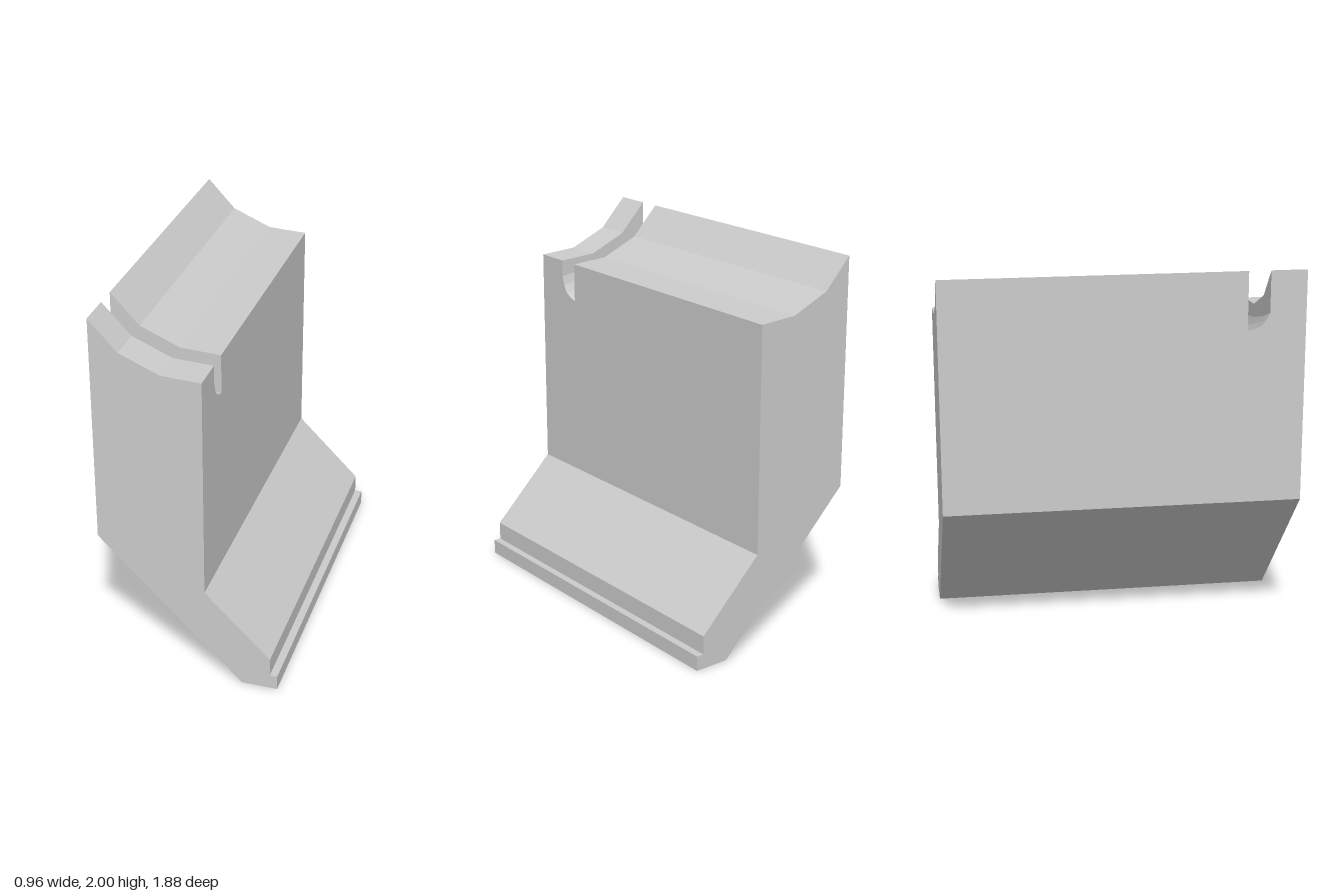
import * as THREE from 'three';

// Side profile (x, y), counter-clockwise; points 6-9 form the scooped top
const PROFILE = [
  [0.29, 0], [0.48, 0], [0.48, 0.08], [0.44, 0.08], [0.44, 0.18], [0.09, 0.53],
  [0.09, 1.74], [-0.12, 1.75], [-0.33, 1.84], [-0.48, 2], [-0.48, 0.77],
];
const HALF_LENGTH = 0.94;

// Slot floor: z, height at the +x edge, height at the -x edge
const SLOT_FLOOR = [
  [0.635, 1.53, 1.69], [0.67, 1.54, 1.70], [0.71, 1.56, 1.715],
  [0.735, 1.60, 1.75], [0.75, 1.65, 1.78],
];

function fullSection(z) {
  return PROFILE.map(([x, y]) => new THREE.Vector3(x, y, z));
}

// Same section with its top lowered to the sloping slot floor
function slotSection([z, right, left]) {
  return PROFILE.map(([x, y], i) => {
    if (i < 6 || i > 9) return new THREE.Vector3(x, y, z);
    const t = (0.09 - x) / 0.57;
    return new THREE.Vector3(x, right + (left - right) * t - 0.08 * t * (1 - t), z);
  });
}

function loft(sections) {
  const positions = [];
  const tri = new THREE.Triangle();
  const add = (a, b, c) => {
    if (tri.set(a, b, c).getArea() < 1e-7) return;
    for (const p of [a, b, c]) positions.push(p.x, p.y, p.z);
  };
  // Skin between neighbouring sections
  for (let s = 0; s < sections.length - 1; s++) {
    const p = sections[s], q = sections[s + 1];
    for (let i = 0; i < p.length; i++) {
      const j = (i + 1) % p.length;
      add(p[i], p[j], q[j]);
      add(p[i], q[j], q[i]);
    }
  }
  // End caps
  const outline = PROFILE.map(([x, y]) => new THREE.Vector2(x, y));
  const back = sections[0], front = sections[sections.length - 1];
  for (const [a, b, c] of THREE.ShapeUtils.triangulateShape(outline, [])) {
    add(front[a], front[b], front[c]);
    add(back[c], back[b], back[a]);
  }
  const geometry = new THREE.BufferGeometry();
  geometry.setAttribute('position', new THREE.Float32BufferAttribute(positions, 3));
  geometry.computeVertexNormals();
  return geometry;
}

export function createModel() {
  const group = new THREE.Group();
  group.name = 'slottedBlock';
  // Coincident pairs of sections at each slot side make its vertical walls
  const sections = [
    fullSection(-HALF_LENGTH),
    fullSection(SLOT_FLOOR[0][0]),
    ...SLOT_FLOOR.map(slotSection),
    fullSection(SLOT_FLOOR[SLOT_FLOOR.length - 1][0]),
    fullSection(HALF_LENGTH),
  ];
  const body = new THREE.Mesh(
    loft(sections),
    new THREE.MeshStandardMaterial({ color: 0xcccccc, flatShading: true })
  );
  body.name = 'slottedBody';
  group.add(body);
  return group;
}
